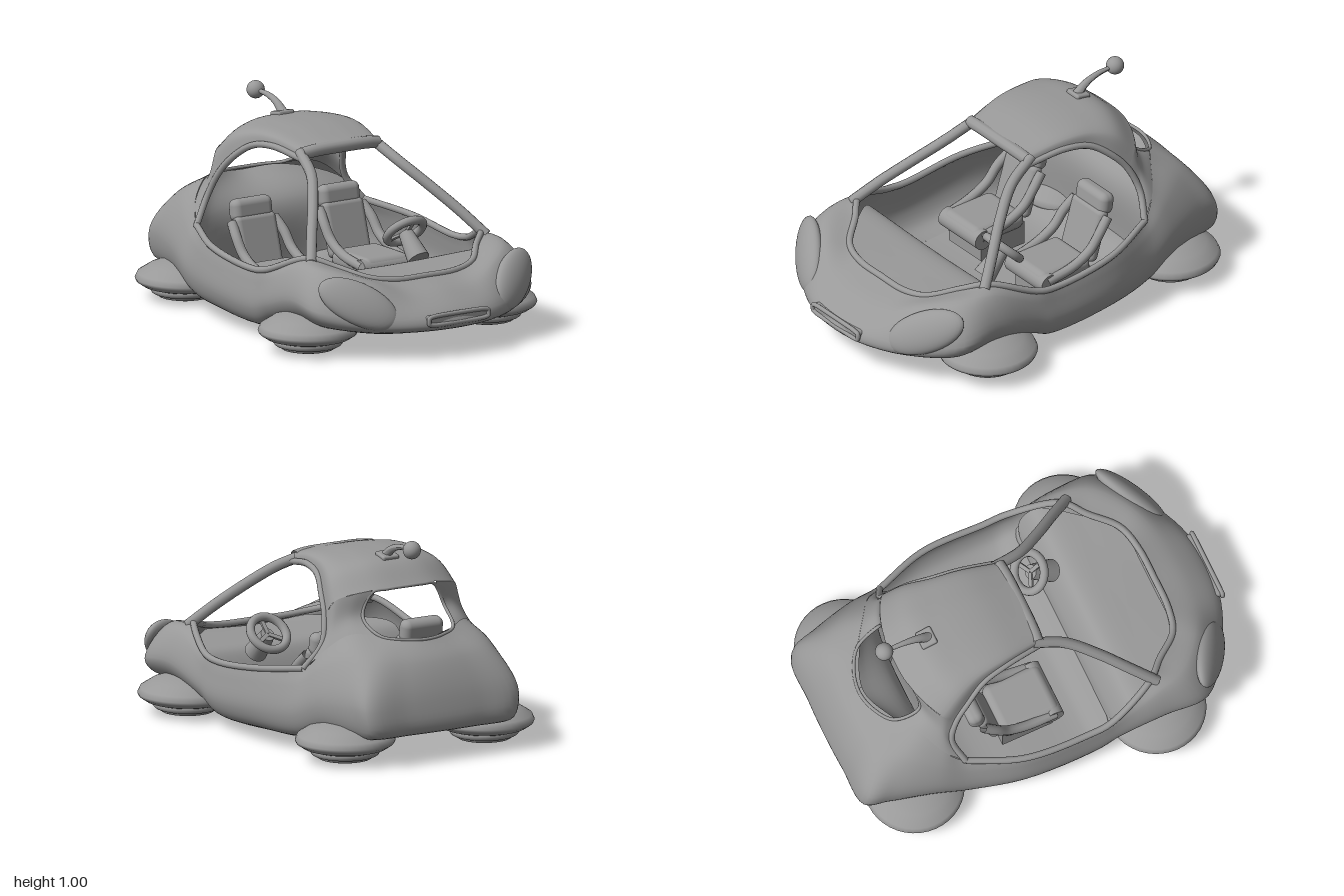
import * as THREE from 'three';
import { RoundedBoxGeometry } from 'three/addons/geometries/RoundedBoxGeometry.js';

const grey = new THREE.MeshStandardMaterial({ color: 0x999999, side: THREE.DoubleSide });
grey.name = 'satin grey';

const mix = THREE.MathUtils.lerp;
const flip = ([x, y, z]) => [-x, y, z];
const curve = (pts, closed = false) =>
  new THREE.CatmullRomCurve3(pts.map((p) => new THREE.Vector3(...p)), closed);
const tube = (pts, r, closed = false) =>
  new THREE.TubeGeometry(curve(pts, closed), pts.length * 7, r, 10, closed);

// Row from the right edge over the middle to the mirrored edge
const mirrorRow = (r) => [...r, ...r.slice(0, -1).reverse().map(flip)];

// Smooth surface through rows of points, optionally closed across the rows
function patch(rows, nu, nv, closed = false) {
  const lines = rows.map((r) => curve(r));
  const count = closed ? nu : nu + 1;
  const pos = [], idx = [];
  for (let j = 0; j <= nv; j++) {
    const across = new THREE.CatmullRomCurve3(lines.map((l) => l.getPoint(j / nv)), closed);
    for (let i = 0; i < count; i++) pos.push(...across.getPoint(i / nu).toArray());
  }
  for (let j = 0; j < nv; j++) {
    for (let i = 0; i < nu; i++) {
      const k = (i + 1) % count;
      const a = j * count + i, b = j * count + k, c = a + count, d = b + count;
      idx.push(a, b, c, b, d, c);
    }
  }
  const g = new THREE.BufferGeometry();
  g.setAttribute('position', new THREE.Float32BufferAttribute(pos, 3));
  g.setIndex(idx);
  g.computeVertexNormals();
  return g;
}

// Body section: floor edge, lower lip, bulge, shoulder, rim
function station([x, z, floor, rx, ry, rz, crown = 0]) {
  const by = mix(floor, ry, .4);
  return [
    [x * .8, floor, z * .89],
    [x * .94, floor + .04, z * 1.01],
    [x, by, z],
    [mix(x, rx, .45), mix(by, ry, .65) + crown, mix(z, rz, .45)],
    [rx, ry, rz],
  ];
}

// Roof section from its side edge up to the ridge
const roofRow = ([ex, ey, ez, ry, rz]) => mirrorRow([
  [ex, ey, ez],
  [ex * .94, mix(ey, ry, .6), mix(ez, rz, .4)],
  [ex * .5, mix(ey, ry, .93), mix(ez, rz, .9)],
  [0, ry, rz],
]);

export function createModel() {
  const car = new THREE.Group();
  car.name = 'hoverCar';
  const add = (name, geo, p = [0, 0, 0], parent = car) => {
    const m = new THREE.Mesh(geo, grey);
    m.name = name;
    m.position.set(...p);
    parent.add(m);
    return m;
  };

  // Lower body: stations from nose centre along one side to tail centre,
  // each bulge x, bulge z, floor y, rim x, y, z and fender crown
  const half = [
    [0, .98, .11, 0, .335, .71],
    [.2, .955, .11, .17, .337, .705],
    [.41, .86, .11, .29, .355, .67, .05],
    [.61, .7, .13, .4, .4, .55, .06],
    [.615, .48, .14, .49, .435, .46, .03],
    [.6, .25, .08, .575, .345, .22],
    [.605, .14, .04, .58, .332, .1],
    [.6, -.22, .05, .57, .365, -.22],
    [.54, -.48, .06, .475, .405, -.49],
    [.505, -.65, .12, .42, .5, -.58],
    [.45, -.85, .12, .32, .58, -.65],
    [.41, -.965, .12, .2, .575, -.735],
    [.2, -.98, .12, .1, .56, -.8],
    [0, -.985, .12, 0, .555, -.82],
  ].map(station);
  const loop = [...half, ...half.slice(1, -1).reverse().map((r) => r.map(flip))];
  add('lowerBody', patch(loop, 156, 24, true));
  add('underside', patch(half.map(([b]) => [b, flip(b)]), 52, 1));

  // Rolled rim along the cowl and door sills
  const rim = half.slice(0, 9).map((r) => r[4]);
  add('bodyRim', tube(mirrorRow(rim.reverse()), .016));

  // Bulkhead curving round behind the seats
  const wall = [[.46, .07, -.45], [.42, .09, -.53], [.28, .11, -.58], [0, .11, -.6]];
  add('rearBulkhead', patch([
    mirrorRow(wall),
    mirrorRow(wall.map(([x, y, z]) => [x, y + .3, z - .01])),
    mirrorRow([[.46, .4, -.49], [.41, .5, -.565], [.19, .565, -.73], [0, .55, -.8]]),
  ], 16, 32));

  // Roof, sweeping back to the spoiler lip
  const roof = [
    [.225, .79, .01, .85, .01],
    [.26, .82, -.18, .89, -.18],
    [.285, .8, -.31, .894, -.37],
    [.325, .73, -.41, .873, -.515],
    [.355, .64, -.485, .78, -.635],
  ];
  add('roof', patch(roof.map(roofRow), 32, 36));
  add('windscreenHeader', tube(mirrorRow([[.215, .812, .005], [.15, .82, .01], [0, .822, .012]]), .03));

  // Rear window frame
  const frame = [[0, .772, -.632], [.1, .77, -.628], [.17, .76, -.613], [.225, .65, -.615],
    [.2, .575, -.735], [.1, .56, -.8], [0, .555, -.82]];
  add('rearWindowFrame', tube([...frame, ...frame.slice(1, -1).reverse().map(flip)], .008, true));

  const quarter = [
    [[.355, .64, -.485], [.334, .724, -.545], [.26, .755, -.59], [.175, .77, -.62]],
    [[.395, .52, -.525], [.355, .62, -.56], [.29, .65, -.595], [.225, .65, -.615]],
    [[.475, .4, -.49], [.42, .495, -.58], [.32, .575, -.65], [.2, .57, -.735]],
  ];
  const pillar = [[.21, .815, -.02], [.25, .74, .13], [.33, .64, .26], [.42, .53, .38], [.5, .42, .49]];
  const doorArch = [[.475, .405, -.49], [.395, .52, -.525],
    ...roof.map(([x, y, z]) => [x, y, z]).reverse()];

  // Hover pad dome and the stepped rings below it
  const dome = [[0, .05], [.15, .05], [.2, .065], [.23, .085], [.237, .1], [.225, .125],
    [.17, .16], [.1, .185], [0, .195]].map(([x, y]) => new THREE.Vector2(x, y));
  const rings = [[.165, .048, .022], [.135, .028, .018], [.09, .011, .011]];
  const addPad = (name, x, z) => {
    const pad = new THREE.Group();
    pad.name = name;
    pad.position.set(x, 0, z);
    car.add(pad);
    add('padDome', new THREE.LatheGeometry(dome, 40), [0, 0, 0], pad);
    for (const [r, y, h] of rings) {
      const edge = [];
      for (let i = 0; i <= 8; i++) {
        const a = i * Math.PI / 8;
        edge.push(new THREE.Vector2(r - h * (1 - Math.sin(a)), y - h * Math.cos(a)));
      }
      add('padRing', new THREE.LatheGeometry([new THREE.Vector2(0, y - h), ...edge], 36), [0, 0, 0], pad);
    }
  };

  for (const s of [1, -1]) {
    const side = (pts) => (s > 0 ? pts : pts.map(flip));
    add('rearQuarterPanel', patch(quarter.map(side), 16, 16));
    add('windscreenPillar', tube(side(pillar), .026));
    add('doorArch', tube(side(doorArch), .016));

    // Headlight pod, flattened, running diagonally up the fender
    const along = new THREE.Vector3(s * .3, .18, -.22).normalize();
    const out = new THREE.Vector3(s * .46, .45, .76);
    const up = out.clone().cross(along).normalize();
    out.crossVectors(along, up);
    const lamp = add('headlight', new THREE.SphereGeometry(1, 32, 20), [s * .44, .275, .795]);
    lamp.quaternion.setFromRotationMatrix(new THREE.Matrix4().makeBasis(along, up, out));
    lamp.scale.set(.205, .1, .05);

    addPad('frontHoverPad', s * .51, .48);
    addPad('rearHoverPad', s * .385, -.715);
    add('frontPadMount', new THREE.BoxGeometry(.26, .025, .2), [s * .41, .105, .48]);

    // Seat
    const seat = new THREE.Group();
    seat.name = 'seat';
    seat.position.x = s * .25;
    car.add(seat);
    add('seatBase', new THREE.BoxGeometry(.24, .12, .26), [0, .14, -.12], seat);
    add('seatCushion', new RoundedBoxGeometry(.27, .09, .3, 4, .04), [0, .215, -.1], seat);
    const roll = add('seatFrontRoll', new THREE.CylinderGeometry(.05, .05, .28, 20), [0, .205, .01], seat);
    roll.rotation.z = Math.PI / 2;
    const back = add('seatBack', new RoundedBoxGeometry(.23, .27, .06, 4, .028), [0, .33, -.31], seat);
    back.rotation.x = -.3;
    const rest = add('headrest', new RoundedBoxGeometry(.22, .11, .08, 4, .034), [0, .48, -.37], seat);
    rest.rotation.x = -.15;
    for (const e of [1, -1]) {
      add('seatBolster', tube([[e * .13, .22, .02], [e * .137, .25, -.13], [e * .137, .3, -.23],
        [e * .135, .37, -.29], [e * .12, .43, -.35]], .024), [0, 0, 0], seat);
    }
  }

  // Dashboard shelf dropping to the floor
  const dash = [[.28, .33, .69], [.42, .335, .54], [.54, .33, .38], [.56, .3, .33], [.56, .18, .27], [.46, .08, .25]];
  add('dashboard', patch(dash.map((p) => [p, [0, p[1] - .012, p[2]], flip(p)]), 24, 12));

  // Steering wheel on the model's left
  const wheel = new THREE.Group();
  wheel.name = 'steeringWheel';
  wheel.position.set(.25, .41, .18);
  wheel.rotation.x = Math.PI / 4;
  car.add(wheel);
  add('wheelRim', new THREE.TorusGeometry(.092, .021, 12, 36), [0, 0, 0], wheel);
  for (let i = 0; i < 3; i++) {
    const a = i * Math.PI * 2 / 3 + Math.PI / 2;
    const spoke = add('wheelSpoke', new THREE.BoxGeometry(.085, .02, .012),
      [Math.cos(a) * .045, Math.sin(a) * .045, .01], wheel);
    spoke.rotation.z = a;
  }
  const column = add('steeringColumn', new THREE.CylinderGeometry(.055, .035, .15, 20), [0, 0, .085], wheel);
  column.rotation.x = Math.PI / 2;

  // Front grille bar with a raised surround
  add('grille', new RoundedBoxGeometry(.34, .045, .04, 3, .015), [0, .19, .965]);
  const surround = [];
  for (let i = 0; i < 24; i++) {
    const c = Math.cos(i * Math.PI / 12), q = Math.sin(i * Math.PI / 12);
    surround.push([.17 * Math.sign(c) * Math.abs(c) ** .4, .19 + .023 * Math.sign(q) * Math.abs(q) ** .4, .986]);
  }
  add('grilleSurround', tube(surround, .011, true));

  // Aerial: tapered curved stalk with a ball tip
  const base = add('aerialBase', new RoundedBoxGeometry(.09, .03, .08, 2, .01), [0, .885, -.47]);
  base.rotation.x = -.2;
  const path = curve([[0, .88, -.455], [0, .925, -.51], [0, .95, -.58], [0, .957, -.68]]);
  const stalk = new THREE.TubeGeometry(path, 20, .03, 12);
  const p = stalk.attributes.position, v = new THREE.Vector3();
  for (let i = 0; i < p.count; i++) {
    const t = Math.floor(i / 13) / 20;
    v.fromBufferAttribute(p, i).lerp(path.getPointAt(t), .7 * Math.sqrt(t));
    p.setXYZ(i, v.x, v.y, v.z);
  }
  stalk.computeVertexNormals();
  add('aerialStalk', stalk);
  add('aerialBall', new THREE.SphereGeometry(.043, 24, 16), [0, .957, -.69]);

  return car;
}
